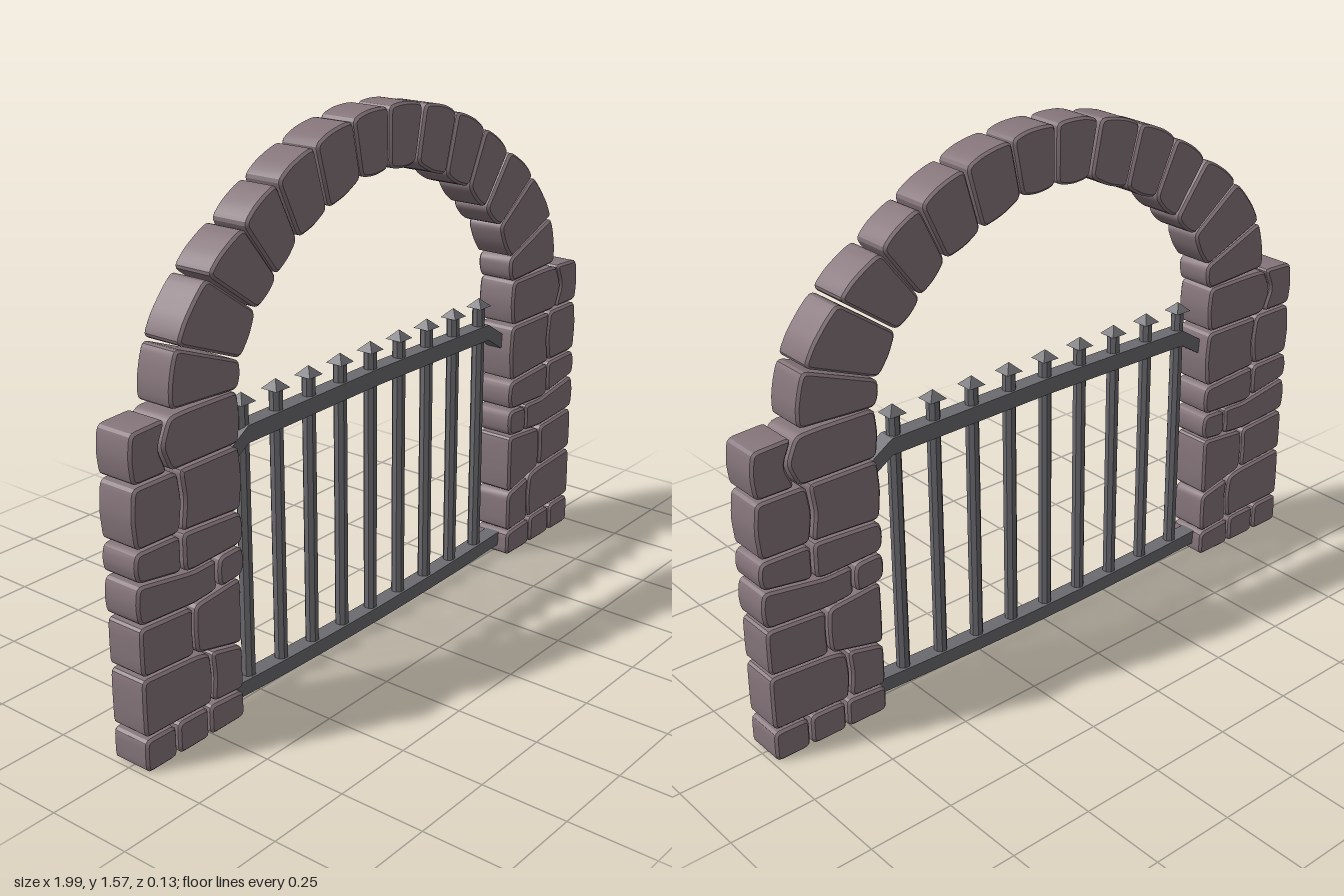
import * as THREE from 'three';
import { toCreasedNormals } from 'three/addons/utils/BufferGeometryUtils.js';

const stoneMat = new THREE.MeshStandardMaterial({ color: 0x85757b });
const ironMat = new THREE.MeshStandardMaterial({ color: 0x6b6b70 });
const mix = THREE.MathUtils.lerp;

// Polygon with softly rounded corners
function roundedShape(points, radius) {
  const pts = points.map(([x, y]) => new THREE.Vector2(x, y));
  const shape = new THREE.Shape();
  pts.forEach((p, i) => {
    const prev = pts[(i + pts.length - 1) % pts.length];
    const next = pts[(i + 1) % pts.length];
    const toward = (q) => p.clone().lerp(q, Math.min(0.4, radius / p.distanceTo(q)));
    const a = toward(prev), b = toward(next);
    if (i === 0) shape.moveTo(a.x, a.y);
    else shape.lineTo(a.x, a.y);
    shape.quadraticCurveTo(p.x, p.y, b.x, b.y);
  });
  shape.closePath();
  return shape;
}

// One dressed stone, centred on z = 0; side -1 mirrors it
function stone(name, points, side, halfDepth) {
  const shape = roundedShape(points.map(([x, y]) => [x * side, y]), 0.02);
  const bevel = 0.007;
  const geo = new THREE.ExtrudeGeometry(shape, {
    depth: 2 * (halfDepth - bevel), curveSegments: 3,
    bevelSize: bevel, bevelThickness: bevel, bevelOffset: -bevel, bevelSegments: 1,
  });
  geo.translate(0, 0, -(halfDepth - bevel));
  const mesh = new THREE.Mesh(toCreasedNormals(geo, 0.5), stoneMat);
  mesh.name = name;
  return mesh;
}

// Pillar courses, foot to cap: height of the bed below at the outer edge, middle
// and inner edge, then the upright joints and how far they bend sideways
const courses = [
  { bed: [0, 0, 0], joints: [0.879, 0.761], bend: 0 },
  { bed: [0.098, 0.094, 0.082], joints: [0.748], bend: -0.008 },
  { bed: [0.27, 0.258, 0.219], joints: [0.802], bend: 0.004 },
  { bed: [0.414, 0.402, 0.418], joints: [0.711], bend: 0.006 },
  { bed: [0.53, 0.5, 0.508], joints: [0.836], bend: 0 },
  { bed: [0.618, 0.615, 0.605], joints: [0.837], bend: -0.012 },
  { bed: [0.788, 0.788, 0.788], joints: [0.868], bend: 0.03 },
];
const capBed = [0.93, 0.939, 0.937];
const OUTER = 0.99, MIDDLE = 0.8, INNER = 0.63;

function bedHeight([outer, middle, inner], x) {
  return x > MIDDLE
    ? mix(middle, outer, (x - MIDDLE) / (OUTER - MIDDLE))
    : mix(inner, middle, (x - INNER) / (MIDDLE - INNER));
}

function createPillar(side) {
  const pillar = new THREE.Group();
  pillar.name = side > 0 ? 'leftPillar' : 'rightPillar';
  const gap = 0.004;
  courses.forEach(({ bed, joints, bend }, row) => {
    const top = row + 1 < courses.length ? courses[row + 1].bed : capBed;
    const low = (x) => [x, bedHeight(bed, x) + (row ? gap : 0)];
    const high = (x) => [x, bedHeight(top, x) - gap];
    // the upper courses lean slightly into the opening
    const edges = [OUTER, ...joints, row < 3 ? INNER : 0.624];
    for (let i = 0; i < edges.length - 1; i++) {
      const first = i === 0, last = i === edges.length - 2;
      const a = edges[i] - (first ? 0 : gap);
      const b = edges[i + 1] + (last ? 0 : gap);
      // worn faces swell outward, joints bend together
      const swell = row < 3 ? 0.001 : 0.008;
      const aMid = a + (first ? swell : bend);
      const bMid = b + (last ? -swell : bend);
      const half = (p, q, x) => [x, (p[1] + q[1]) / 2];
      const kink = a > MIDDLE + 0.03 && b < MIDDLE - 0.03 ? [MIDDLE] : [];
      const outline = [
        low(a), ...kink.map(low), low(b), half(low(b), high(b), bMid),
        high(b), ...kink.map(high), high(a), half(low(a), high(a), aMid),
      ];
      pillar.add(stone('pillarStone', outline, side, last && row > 2 ? 0.065 : 0.062));
    }
  });
  return pillar;
}

// Arch joints from springing to crown: outer x, y, inner x, y
const archJoints = [
  [0.855, 0.942, 0.618, 0.932], [0.828, 1.1, 0.606, 1.01], [0.715, 1.25, 0.543, 1.125],
  [0.58, 1.348, 0.463, 1.195], [0.455, 1.435, 0.378, 1.275], [0.31, 1.505, 0.26, 1.33],
  [0.155, 1.548, 0.122, 1.388], [0, 1.562, 0, 1.393],
];

function createArch() {
  const arch = new THREE.Group();
  arch.name = 'arch';
  const gap = 0.025; // share of each stone lost to the joint
  const swell = ([x, y], d) => {
    const dir = new THREE.Vector2(x, y - 0.66).normalize();
    return [x + dir.x * d, y + dir.y * d];
  };
  for (const side of [1, -1]) {
    for (let i = 0; i < archJoints.length - 1; i++) {
      const [from, to] = [archJoints[i], archJoints[i + 1]];
      const outer = (t) => [mix(from[0], to[0], t), mix(from[1], to[1], t)];
      const inner = (t) => [mix(from[2], to[2], t), mix(from[3], to[3], t)];
      const outline = [
        outer(gap), swell(outer(0.35), 0.01), swell(outer(0.7), 0.008), outer(1 - gap),
        inner(1 - gap), swell(inner(0.5), -0.008), inner(gap),
      ];
      arch.add(stone('archStone', outline, side, 0.061 + (i % 3) * 0.0015));
    }
  }
  return arch;
}

// Flat iron rail following a lower line of points, with an even height
function rail(name, line, height) {
  const lower = line.map(([x, y]) => new THREE.Vector2(x, y));
  const upper = line.map(([x, y]) => new THREE.Vector2(x, y + height)).reverse();
  const depth = 0.05;
  const geo = new THREE.ExtrudeGeometry(new THREE.Shape([...lower, ...upper]), { depth, bevelEnabled: false });
  geo.translate(0, 0, -depth / 2);
  const mesh = new THREE.Mesh(geo, ironMat);
  mesh.name = name;
  return mesh;
}

function createGate() {
  const gate = new THREE.Group();
  gate.name = 'gate';
  // top rail with drooping ends
  gate.add(rail('topRail', [[-0.63, 0.704], [-0.547, 0.757], [0, 0.764], [0.547, 0.757], [0.63, 0.704]], 0.049));
  // bottom rail, sagging slightly in the middle
  const sagLine = Array.from({ length: 11 }, (_, i) => {
    const t = i / 5 - 1;
    return [0.635 * t, 0.015 + 0.015 * t * t];
  });
  gate.add(rail('bottomRail', sagLine, 0.044));
  // upright bars with pointed caps
  const barGeo = new THREE.CylinderGeometry(0.02, 0.02, 0.83, 8).toNonIndexed();
  barGeo.rotateY(Math.PI / 8);
  barGeo.computeVertexNormals();
  const capGeo = new THREE.ConeGeometry(0.039, 0.027, 4).toNonIndexed();
  capGeo.rotateY(Math.PI / 4);
  capGeo.computeVertexNormals();
  for (let i = 0; i < 9; i++) {
    const x = -0.545 + i * 0.1337;
    const bar = new THREE.Mesh(barGeo, ironMat);
    bar.name = 'gateBar';
    bar.position.set(x, 0.455, 0);
    const cap = new THREE.Mesh(capGeo, ironMat);
    cap.name = 'barCap';
    cap.position.set(x, 0.88, 0);
    gate.add(bar, cap);
  }
  return gate;
}

export function createModel() {
  const model = new THREE.Group();
  model.name = 'stoneArchGate';
  model.add(createPillar(1), createPillar(-1), createArch(), createGate());
  return model;
}
